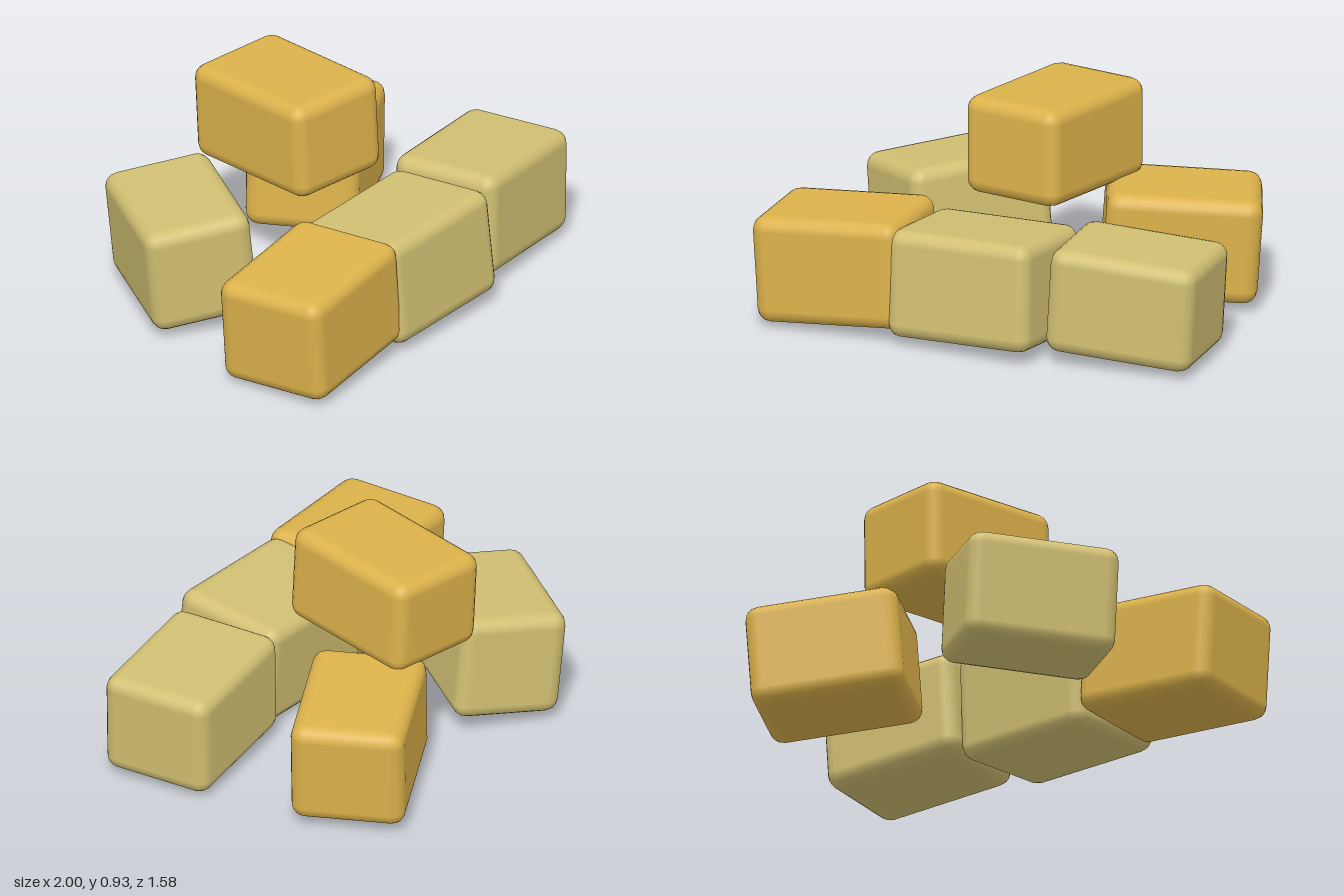
import * as THREE from 'three';
import { RoundedBoxGeometry } from 'three/addons/geometries/RoundedBoxGeometry.js';

export function createModel() {
  const group = new THREE.Group();
  group.name = 'balePile';
  const gold = new THREE.MeshStandardMaterial({ color: 0xdcb24b });
  gold.name = 'gold';
  const straw = new THREE.MeshStandardMaterial({ color: 0xd1bf72 });
  straw.name = 'straw';

  // One soft-edged block: size, centre, and turn in degrees (pitch, yaw, roll)
  function bale(name, material, size, position, turn) {
    const mesh = new THREE.Mesh(new RoundedBoxGeometry(...size, 2, 0.06), material);
    mesh.name = name;
    mesh.position.set(...position);
    mesh.rotation.set(...turn.map(THREE.MathUtils.degToRad), 'YXZ');
    group.add(mesh);
  }

  // Front row
  bale('frontRightBale', gold, [0.65, 0.46, 0.5], [-0.64, 0.27, 0.49], [-1, 9, 4]);
  bale('frontMiddleBale', straw, [0.66, 0.46, 0.51], [-0.02, 0.263, 0.425], [-5, 3, 2]);
  bale('frontLeftBale', straw, [0.64, 0.45, 0.49], [0.64, 0.27, 0.287], [-1, 11, -3]);

  // Back pair
  bale('backRightBale', straw, [0.65, 0.46, 0.46], [-0.56, 0.29, -0.305], [-6, 59, 1]);
  bale('backLeftBale', gold, [0.65, 0.45, 0.48], [0.425, 0.285, -0.445], [0, 31, -4]);

  // Top bale resting across the others
  bale('topBale', gold, [0.47, 0.42, 0.67], [-0.033, 0.715, -0.19], [-2, -5.5, 1.5]);

  return group;
}
